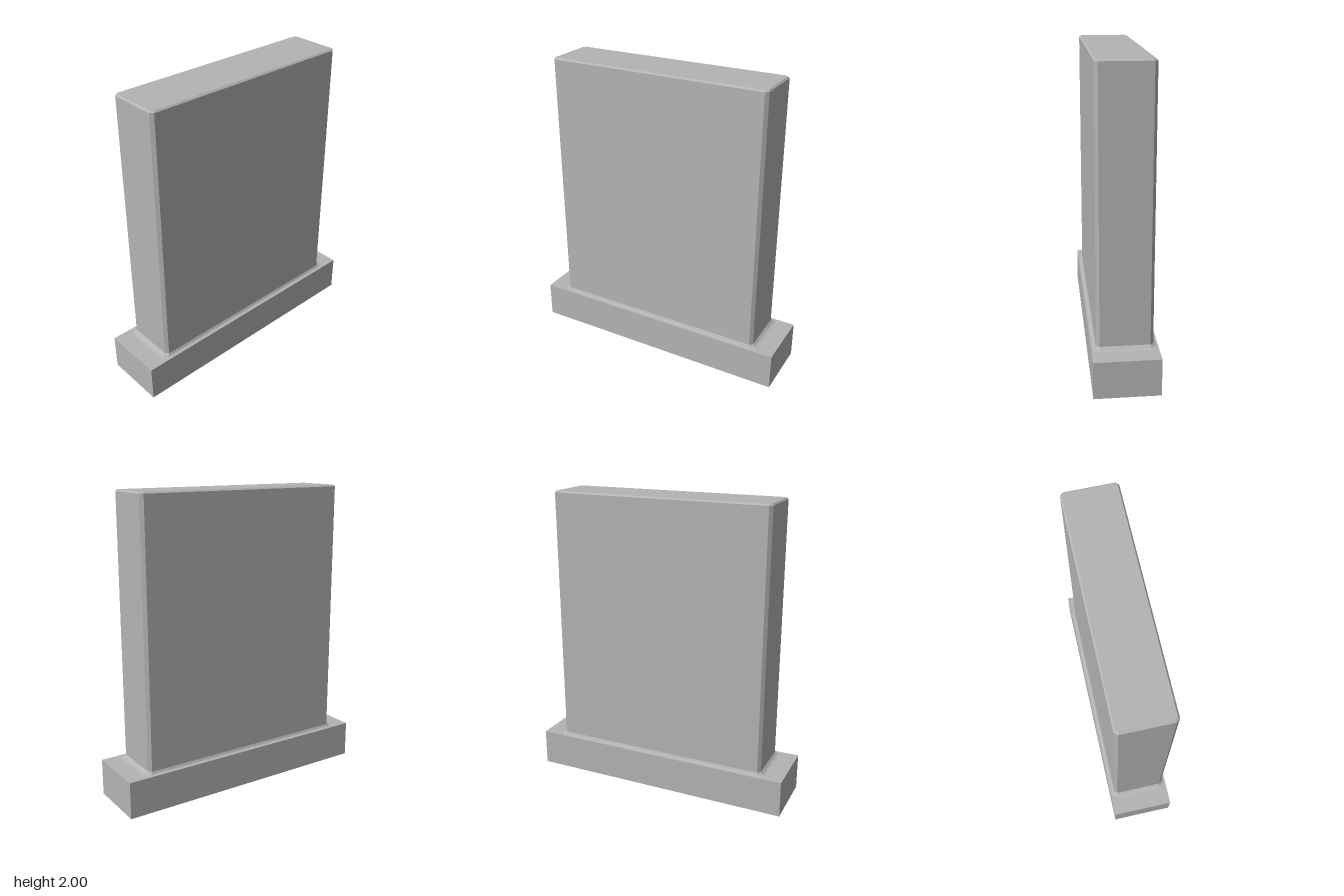
import * as THREE from 'three';

// Rectangle outline with cut corners, counter-clockwise seen from above
function ring(y, w, d, cut) {
  const x = w / 2, z = d / 2, c = cut;
  return [
    [x, z - c], [x, c - z], [x - c, -z], [c - x, -z],
    [-x, c - z], [-x, z - c], [c - x, z], [x - c, z],
  ].map(([px, pz]) => new THREE.Vector3(px, y, pz));
}

// Skin stacked rings and close both ends, with flat facets
function loft(rings) {
  const pos = [];
  const tri = (a, b, c) => [a, b, c].forEach((p) => pos.push(p.x, p.y, p.z));
  const n = rings[0].length;
  for (let r = 0; r < rings.length - 1; r++) {
    for (let i = 0; i < n; i++) {
      const j = (i + 1) % n;
      const a = rings[r][i], b = rings[r][j], c = rings[r + 1][j], d = rings[r + 1][i];
      tri(a, b, c);
      tri(a, c, d);
    }
  }
  const low = rings[0], high = rings[rings.length - 1];
  for (let i = 1; i < n - 1; i++) {
    tri(high[0], high[i], high[i + 1]);
    tri(low[0], low[i + 1], low[i]);
  }
  const geo = new THREE.BufferGeometry();
  geo.setAttribute('position', new THREE.Float32BufferAttribute(pos, 3));
  geo.computeVertexNormals();
  return geo;
}

export function createModel() {
  const group = new THREE.Group();
  const stone = new THREE.MeshStandardMaterial({ color: 0xb4b4b4 });
  stone.name = 'grey stone';

  // Plinth
  const base = new THREE.Mesh(new THREE.BoxGeometry(1.79, 0.245, 0.416), stone);
  base.name = 'base';
  base.position.y = 0.1225;
  group.add(base);

  // Upright slab with bevelled edges and a small flare at its foot
  const slab = new THREE.Mesh(loft([
    ring(0.243, 1.57, 0.4, 0.03),
    ring(0.25, 1.52, 0.37, 0.025),
    ring(0.265, 1.487, 0.354, 0.02),
    ring(1.99, 1.487, 0.354, 0.02),
    ring(2.0, 1.467, 0.334, 0.015),
  ]), stone);
  slab.name = 'slab';
  group.add(slab);

  return group;
}
